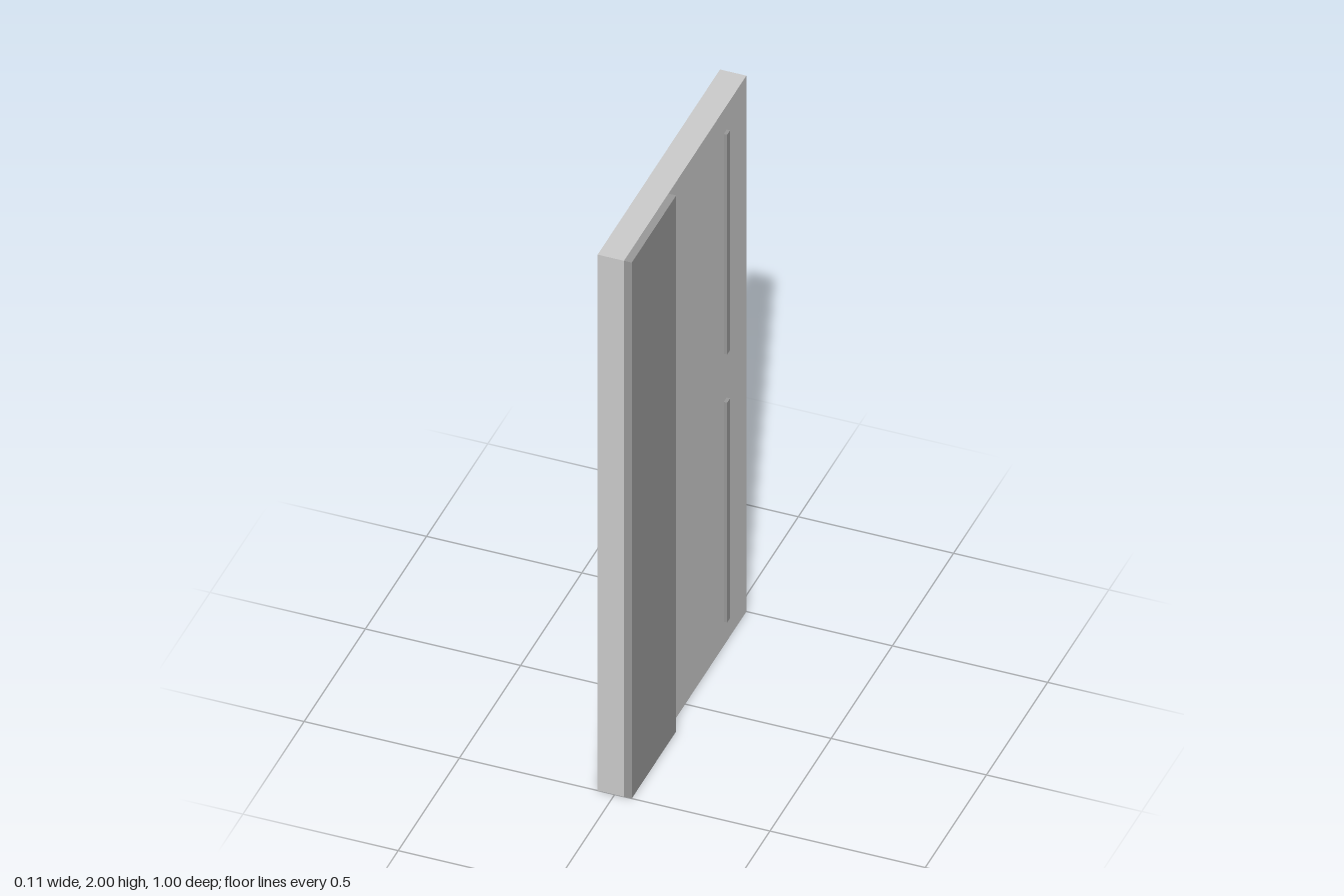
import * as THREE from 'three';

const grey = new THREE.MeshStandardMaterial({ color: 0xcccccc });
const darkGrey = new THREE.MeshStandardMaterial({ color: 0x999999 });

// Box given by its minimum and maximum corners
function box(name, min, max, material) {
  const size = max.map((v, i) => v - min[i]);
  const mesh = new THREE.Mesh(new THREE.BoxGeometry(...size), material);
  mesh.position.set(...max.map((v, i) => (v + min[i]) / 2));
  mesh.name = name;
  return mesh;
}

export function createModel() {
  const group = new THREE.Group();
  group.name = 'slabPanel';
  const face = 0.03;

  // Main upright slab
  group.add(box('slab', [-0.055, 0, -0.5], [face, 2, 0.5], grey));

  // Raised full-height band along the front edge
  group.add(box('raisedBand', [face, 0, 0.137], [0.055, 2, 0.5], darkGrey));

  // Two slim vertical bars, one per half
  ['lowerBar', 'upperBar'].forEach((name, i) => {
    group.add(box(name, [face, i + 0.09, -0.339], [0.041, i + 0.91, -0.315], darkGrey));
  });

  return group;
}
